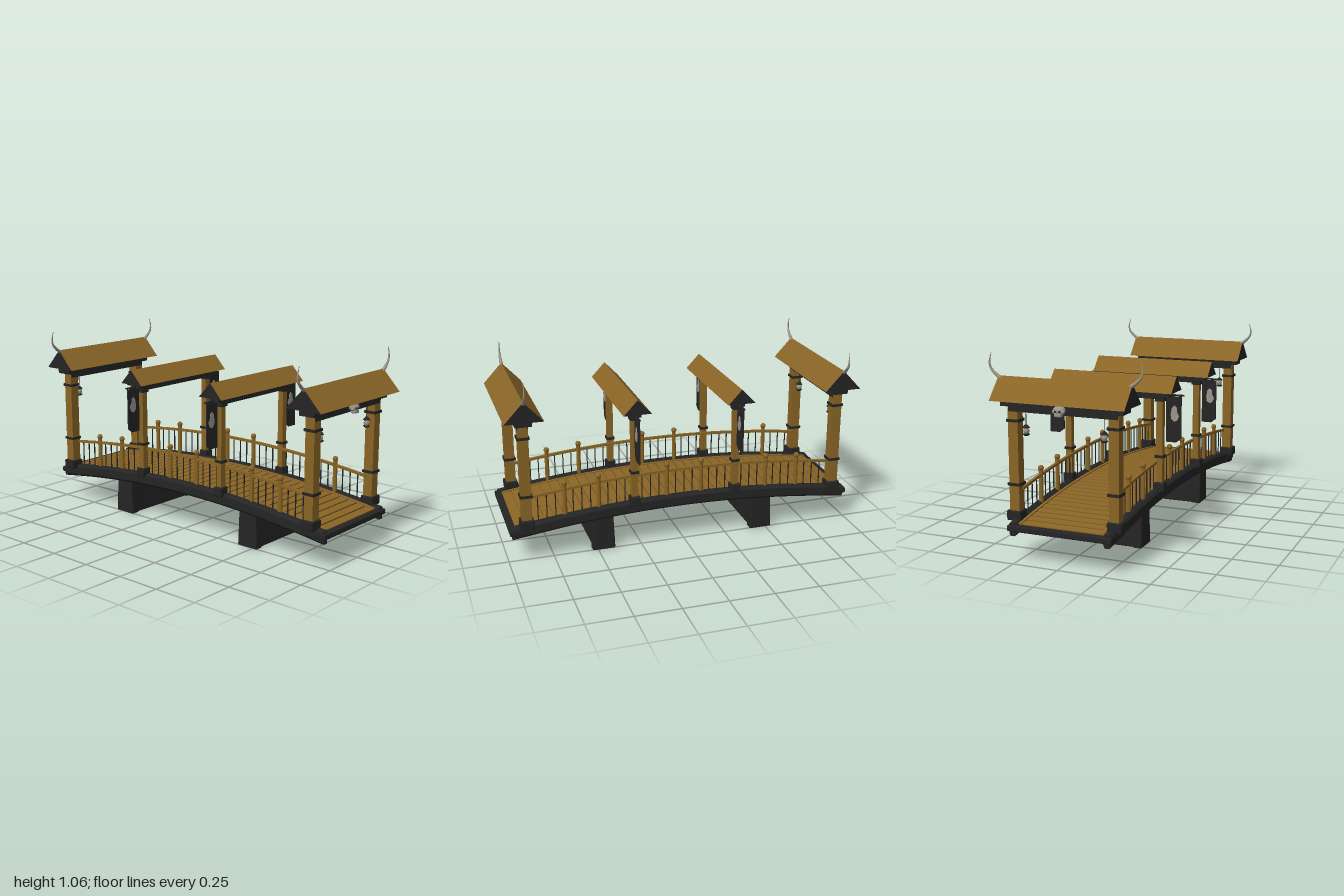
import * as THREE from 'three';
import { RoundedBoxGeometry } from 'three/addons/geometries/RoundedBoxGeometry.js';

const mat = (name, color) => {
  const m = new THREE.MeshStandardMaterial({ color });
  m.name = name;
  return m;
};

export function createModel() {
  const wood = mat('wood', 0x8a6526);
  const dark = mat('charcoal', 0x252525);
  const bone = mat('bone', 0x9c968a);
  const root = new THREE.Group();
  root.name = 'bridge';

  const add = (parent, name, geo, material, x = 0, y = 0, z = 0) => {
    const m = new THREE.Mesh(geo, material);
    m.name = name;
    m.position.set(x, y, z);
    parent.add(m);
    return m;
  };
  const box = (p, name, material, w, h, d, x, y, z) =>
    add(p, name, new THREE.BoxGeometry(w, h, d), material, x, y, z);
  const rbox = (p, name, material, w, h, d, x, y, z, r = 0.007) =>
    add(p, name, new RoundedBoxGeometry(w, h, d, 1, r), material, x, y, z);
  const group = (name, z = 0) => {
    const g = new THREE.Group();
    g.name = name;
    g.position.z = z;
    root.add(g);
    return g;
  };

  // Height of the walking surface along the arch
  const deckY = (z) => 0.275 - 0.08 * z * z;

  // Arched strip between two offsets from the deck, extruded across x
  const arch = (p, name, material, x, width, low, high, halfLen, bevel = 0) => {
    const s = new THREE.Shape();
    const n = 24;
    for (let i = 0; i <= n; i++) {
      const z = halfLen * (2 * i / n - 1);
      if (i === 0) s.moveTo(z, deckY(z) + low + bevel);
      else s.lineTo(z, deckY(z) + low + bevel);
    }
    for (let i = n; i >= 0; i--) {
      const z = halfLen * (2 * i / n - 1);
      s.lineTo(z, deckY(z) + high - bevel);
    }
    const geo = new THREE.ExtrudeGeometry(s, {
      depth: width - 2 * bevel, bevelEnabled: bevel > 0,
      bevelSize: bevel, bevelThickness: bevel, bevelSegments: 1,
    });
    geo.translate(0, 0, -(width - 2 * bevel) / 2);
    geo.rotateY(-Math.PI / 2);
    add(p, name, geo, material, x);
  };

  // Deck: planks on a thin arched bed, side beams and end sills
  const deck = group('deck');
  arch(deck, 'plankBed', wood, 0, 0.48, -0.03, -0.012, 0.955);
  const planks = 35;
  for (let i = 0; i < planks; i++) {
    const z = (i - (planks - 1) / 2) * 0.0548;
    const b = box(deck, 'plank', wood, 0.48, 0.016, 0.046, 0, deckY(z) - 0.008, z);
    b.rotation.x = Math.atan(0.16 * z);
  }
  for (const s of [-1, 1]) {
    arch(deck, 'sideBeam', dark, s * 0.262, 0.05, -0.06, 0.01, 0.965, 0.012);
    arch(deck, 'deckStrip', wood, s * 0.228, 0.016, -0.005, 0.005, 0.955);
    rbox(deck, 'endSill', dark, 0.58, 0.032, 0.17, 0, 0.181, s * 0.905);
  }

  // Piers: a wall between two slightly tapered columns
  for (const sz of [-1, 1]) {
    const pier = group('pier', sz * 0.468);
    rbox(pier, 'pierWall', dark, 0.44, 0.225, 0.108, 0, 0.1125, 0);
    for (const sx of [-1, 1]) {
      const g = new RoundedBoxGeometry(0.05, 0.23, 0.13, 1, 0.007);
      const pos = g.attributes.position;
      for (let i = 0; i < pos.count; i++)
        if (pos.getY(i) > 0) pos.setZ(i, pos.getZ(i) * 0.86);
      add(pier, 'pierColumn', g, dark, sx * 0.235, 0.115, 0);
    }
  }

  // Railings with ball-topped posts and thin balusters
  const postZ = [0.68, 0.49, 0.1, -0.1, -0.49, -0.68];
  for (const s of [-1, 1]) {
    const rail = group('railing');
    const x = s * 0.252;
    arch(rail, 'handrail', wood, x, 0.016, 0.147, 0.161, 0.88);
    for (const z of postZ) {
      const y = deckY(z);
      add(rail, 'railPost', new THREE.CylinderGeometry(0.012, 0.013, 0.19, 8), wood, x, y + 0.085, z);
      add(rail, 'postBall', new THREE.SphereGeometry(0.016, 10, 8), wood, x, y + 0.19, z);
    }
    for (let i = -17; i <= 17; i++) {
      const z = i * 0.0487;
      if ([...postZ, 0.293, -0.293].some((p) => Math.abs(p - z) < 0.018)) continue;
      box(rail, 'baluster', dark, 0.005, 0.15, 0.005, x, deckY(z) + 0.075, z);
    }
  }

  // Gable roof: wooden slopes, dark ends
  const roof = (p, halfW, halfD, y0, y1) => {
    const s = new THREE.Shape();
    s.moveTo(-halfD, y0);
    s.lineTo(halfD, y0);
    s.lineTo(0, y1);
    s.closePath();
    const geo = new THREE.ExtrudeGeometry(s, { depth: 2 * halfW, bevelEnabled: false });
    geo.translate(0, 0, -halfW);
    geo.rotateY(Math.PI / 2);
    add(p, 'roof', geo, [dark, wood]);
  };

  // Square post with a dark foot and bands
  const post = (p, x, w, d, bottom, top, foot, bands) => {
    box(p, 'post', wood, w, top - bottom, d, x, (top + bottom) / 2, 0);
    rbox(p, 'postFoot', dark, foot[0], 0.053, foot[1], x + Math.sign(x) * 0.003, bottom + 0.028, 0);
    for (const y of bands) box(p, 'postBand', dark, w + 0.013, 0.014, d + 0.013, x, y, 0);
  };

  // Tapered curved horn
  const horn = (p, s) => {
    const curve = new THREE.CatmullRomCurve3([
      [0.355, 0.932], [0.385, 0.955], [0.411, 0.985], [0.416, 1.015], [0.405, 1.06],
    ].map(([x, y]) => new THREE.Vector3(s * x, y, 0)));
    const seg = 16, rad = 8;
    const geo = new THREE.TubeGeometry(curve, seg, 0.011, rad);
    const pos = geo.attributes.position;
    const v = new THREE.Vector3();
    for (let i = 0; i < pos.count; i++) {
      const t = Math.floor(i / (rad + 1)) / seg;
      const c = curve.getPointAt(t);
      v.fromBufferAttribute(pos, i).sub(c).multiplyScalar(1 - 0.88 * t).add(c);
      pos.setXYZ(i, v.x, v.y, v.z);
    }
    add(p, 'horn', geo, bone);
  };

  // Hanging lantern
  const lantern = (p, x) => {
    add(p, 'lanternCord', new THREE.CylinderGeometry(0.002, 0.002, 0.1, 5), dark, x, 0.74, 0);
    add(p, 'lanternCap', new THREE.CylinderGeometry(0.006, 0.021, 0.016, 10), dark, x, 0.697, 0);
    add(p, 'lanternGlobe', new THREE.SphereGeometry(0.016, 10, 8), bone, x, 0.673, 0).scale.y = 1.2;
    add(p, 'lanternBase', new THREE.CylinderGeometry(0.02, 0.012, 0.008, 10), dark, x, 0.653, 0);
  };

  // Skull plaque on the outward face
  const skull = (p) => {
    const g = new THREE.Group();
    g.name = 'skull';
    g.position.set(0, 0.8, 0.055);
    p.add(g);
    add(g, 'cranium', new THREE.SphereGeometry(0.03, 12, 10), bone, 0, 0.003, 0).scale.set(1.1, 0.75, 0.85);
    rbox(g, 'jaw', bone, 0.04, 0.022, 0.03, 0, -0.018, 0.008, 0.006);
    for (const s of [-1, 1]) {
      add(g, 'eyeSocket', new THREE.SphereGeometry(0.006, 8, 6), dark, s * 0.012, -0.001, 0.022);
      add(g, 'cheek', new THREE.SphereGeometry(0.011, 8, 6), bone, s * 0.024, -0.004, 0.01);
    }
  };

  // End gates
  for (const sz of [-1, 1]) {
    const gate = group('endGate', sz * 0.895);
    if (sz < 0) gate.rotation.y = Math.PI;
    roof(gate, 0.365, 0.105, 0.832, 0.945);
    box(gate, 'upperBeam', dark, 0.67, 0.036, 0.09, 0, 0.817, 0);
    box(gate, 'lowerBeam', dark, 0.6, 0.03, 0.06, 0, 0.787, 0);
    skull(gate);
    for (const s of [-1, 1]) {
      post(gate, s * 0.276, 0.055, 0.055, 0.203, 0.79, [0.08, 0.076], [0.395, 0.725]);
      horn(gate, s);
      lantern(gate, s * 0.215);
    }
  }

  // Pointed-tail cloth
  const cloth = new THREE.Shape();
  [[-0.043, 0.788], [-0.043, 0.56], [-0.015, 0.538], [0.043, 0.538], [0.043, 0.788]]
    .forEach(([x, y], i) => (i ? cloth.lineTo(x, y) : cloth.moveTo(x, y)));
  const clothGeo = new THREE.ExtrudeGeometry(cloth, { depth: 0.008, bevelEnabled: false });
  clothGeo.translate(0, 0, -0.004);
  const emblem = new THREE.Shape();
  [[-0.024, 0.682], [-0.012, 0.658], [0.004, 0.652], [0.02, 0.664], [0.024, 0.69],
    [0.018, 0.725], [0.004, 0.74], [-0.01, 0.73], [-0.012, 0.705]]
    .forEach(([x, y], i) => (i ? emblem.lineTo(x, y) : emblem.moveTo(x, y)));
  const emblemGeo = new THREE.ExtrudeGeometry(emblem, { depth: 0.012, bevelEnabled: false });
  emblemGeo.translate(0, 0, -0.006);

  // Middle gates with side banners
  for (const sz of [-1, 1]) {
    const gate = group('middleGate', sz * 0.293);
    roof(gate, 0.362, 0.078, 0.812, 0.895);
    box(gate, 'upperBeam', dark, 0.66, 0.03, 0.06, 0, 0.8, 0);
    box(gate, 'lowerBeam', dark, 0.6, 0.018, 0.044, 0, 0.779, 0);
    const rod = add(gate, 'bannerRod', new THREE.CylinderGeometry(0.005, 0.005, 0.81, 6), dark, 0, 0.795, 0);
    rod.rotation.z = Math.PI / 2;
    for (const s of [-1, 1]) {
      post(gate, s * 0.272, 0.036, 0.034, 0.258, 0.79, [0.06, 0.056], [0.455, 0.765]);
      add(gate, 'banner', clothGeo, dark, s * 0.348);
      add(gate, 'bannerPatch', emblemGeo, bone, s * 0.348 - 0.008);
    }
  }
  return root;
}
